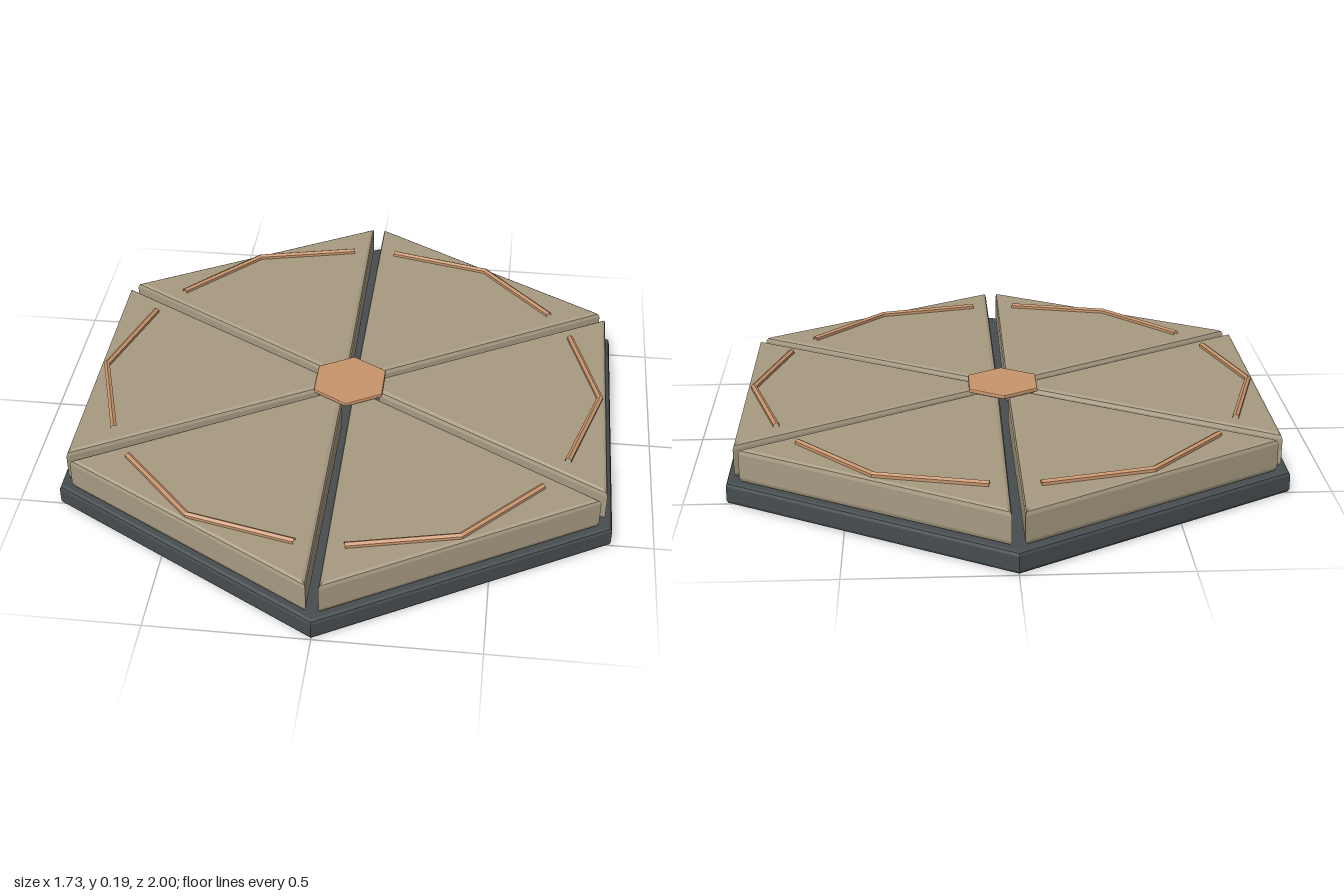
import * as THREE from 'three';

const stone = new THREE.MeshStandardMaterial({ color: 0xa89b82 });
stone.name = 'sandStone';
const slate = new THREE.MeshStandardMaterial({ color: 0x474d50 });
slate.name = 'darkSlate';
const copper = new THREE.MeshStandardMaterial({ color: 0xc8956c, side: THREE.DoubleSide, flatShading: true });
copper.name = 'copper';

// Horizontal slab between two heights; its outline is already inset by the bevel
function slab(points, bottom, top, bevel) {
  const shape = new THREE.Shape(points.map(([x, y]) => new THREE.Vector2(x, y)));
  const geometry = new THREE.ExtrudeGeometry(shape, {
    depth: top - bottom - 2 * bevel,
    bevelEnabled: true,
    bevelSize: bevel,
    bevelThickness: bevel,
    bevelSegments: 2,
  });
  geometry.rotateX(-Math.PI / 2);
  geometry.translate(0, bottom + bevel, 0);
  return geometry;
}

// Hexagon with corners on the z axis
function hexagon(radius) {
  return Array.from({ length: 6 }, (_, i) => {
    const a = Math.PI / 6 + (i * Math.PI) / 3;
    return [radius * Math.cos(a), radius * Math.sin(a)];
  });
}

// One sector of the hexagon pointing to +x, cut off near the centre
function wedge(inner, outer, gap) {
  const half = (x) => x * Math.tan(Math.PI / 6) - gap / Math.cos(Math.PI / 6);
  return [[inner, -half(inner)], [outer, -half(outer)], [outer, half(outer)], [inner, half(inner)]];
}

export function createModel() {
  const model = new THREE.Group();
  model.name = 'hexagonalPlatform';
  const add = (parent, name, geometry, material) => {
    const mesh = new THREE.Mesh(geometry, material);
    mesh.name = name;
    parent.add(mesh);
  };

  // Base
  const baseBevel = 0.012;
  add(model, 'base', slab(hexagon(1 - baseBevel / Math.cos(Math.PI / 6)), 0, 0.07, baseBevel), slate);

  // Six wedge tiles, each with a bent inlay rod
  const b = 0.016;
  const tileGeometry = slab(wedge(0.1 + b, 0.847 - b, 0.014 + b), 0.07, 0.18, b);
  const y = 0.184;
  const bend = new THREE.CurvePath();
  const ends = [[0.72, -0.33], [0.82, 0], [0.72, 0.33]].map(([x, z]) => new THREE.Vector3(x, y, z));
  bend.add(new THREE.LineCurve3(ends[0], ends[1]));
  bend.add(new THREE.LineCurve3(ends[1], ends[2]));
  const rodGeometry = new THREE.TubeGeometry(bend, 2, 0.011, 6, false);
  for (let i = 0; i < 6; i++) {
    const sector = new THREE.Group();
    sector.name = `sector${i + 1}`;
    sector.rotation.y = (i * Math.PI) / 3;
    add(sector, 'tile', tileGeometry, stone);
    add(sector, 'inlayRod', rodGeometry, copper);
    model.add(sector);
  }

  // Centre plate
  add(model, 'centrePlate', slab(hexagon(0.125), 0.177, 0.191, 0.004), copper);

  return model;
}
